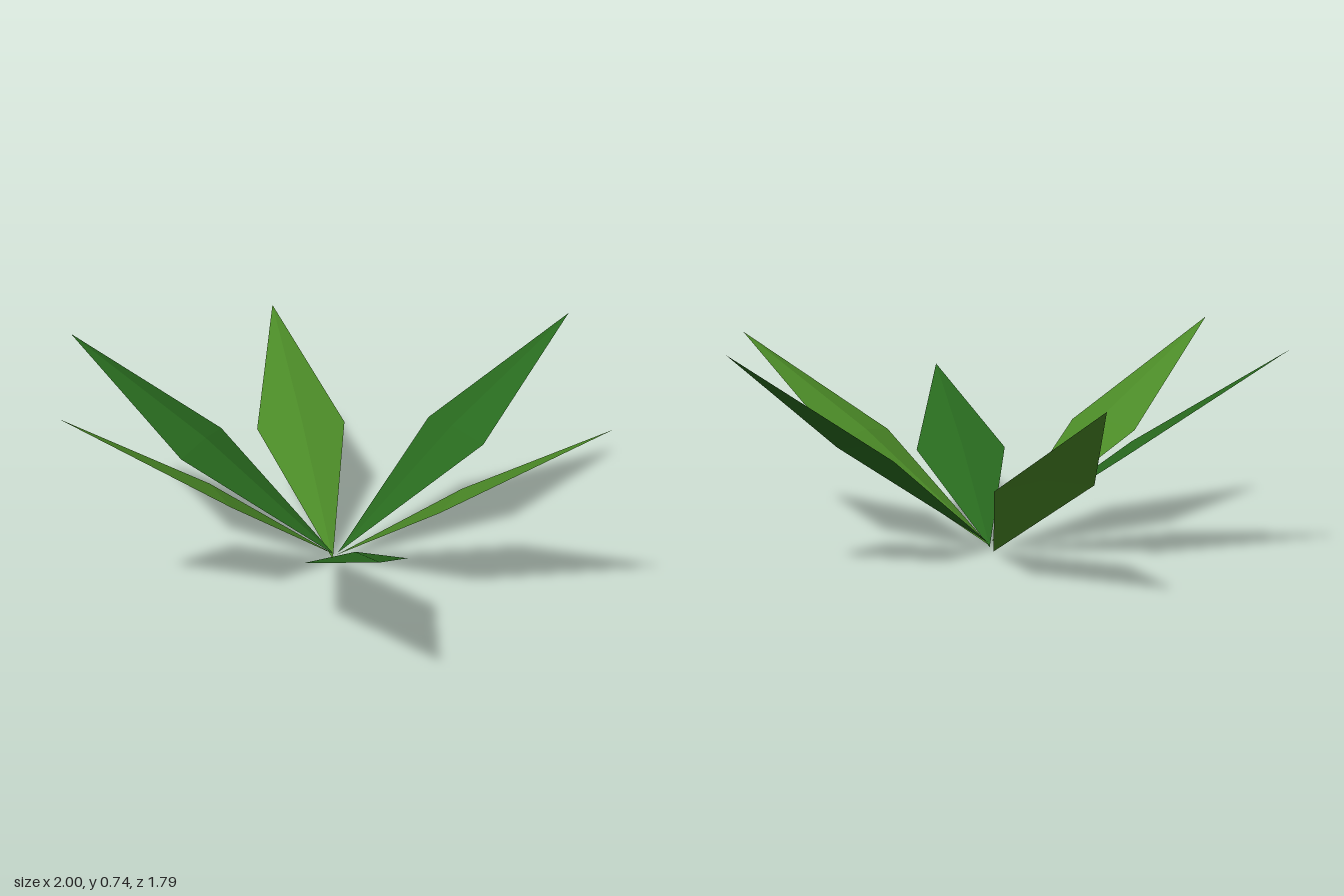
import * as THREE from 'three';

const LIGHT = 0x4b8a27, DARK = 0x28691e;
const HALF_WIDTH = 0.165, RIDGE = 0.028;

// A diamond leaf folded along its midrib: root, two side corners, raised middle, tip.
function leafGeometry(root, tip) {
  const axis = tip.clone().sub(root);
  const side = new THREE.Vector3(0, 1, 0).cross(axis).normalize();
  const up = axis.clone().cross(side).normalize();
  const mid = root.clone().lerp(tip, 0.5);
  const left = mid.clone().addScaledVector(side, HALF_WIDTH);
  const right = mid.clone().addScaledVector(side, -HALF_WIDTH);
  mid.addScaledVector(up, RIDGE);
  const triangles = [root, mid, left, root, right, mid, mid, tip, left, right, tip, mid];
  const geometry = new THREE.BufferGeometry().setFromPoints(triangles);
  geometry.computeVertexNormals();
  return geometry;
}

export function createModel() {
  const group = new THREE.Group();
  group.name = 'leafyPlant';

  // Root and tip of each leaf, going round the plant; the greens alternate.
  const leaves = [
    { name: 'leftLeaf', root: [-0.01, 0.02, -0.05], tip: [1.0, 0.70, 0.07] },
    { name: 'frontLeftLeaf', root: [-0.005, 0.01, -0.035], tip: [0.605, 0.51, 0.895] },
    { name: 'frontRightLeaf', root: [-0.01, 0.03, -0.03], tip: [-0.505, 0.74, 0.85] },
    { name: 'rightLeaf', root: [-0.01, 0.03, -0.03], tip: [-1.0, 0.72, 0.07] },
    { name: 'backRightLeaf', root: [-0.025, 0.0, -0.05], tip: [-0.69, 0.625, -0.84] },
    { name: 'backLeftLeaf', root: [-0.005, 0.03, -0.05], tip: [0.5, 0.74, -0.9] },
  ];
  leaves.forEach(({ name, root, tip }, i) => {
    const material = new THREE.MeshStandardMaterial({
      color: i % 2 ? DARK : LIGHT, flatShading: true, side: THREE.DoubleSide,
    });
    const leaf = new THREE.Mesh(
      leafGeometry(new THREE.Vector3(...root), new THREE.Vector3(...tip)), material);
    leaf.name = name;
    group.add(leaf);
  });
  return group;
}
